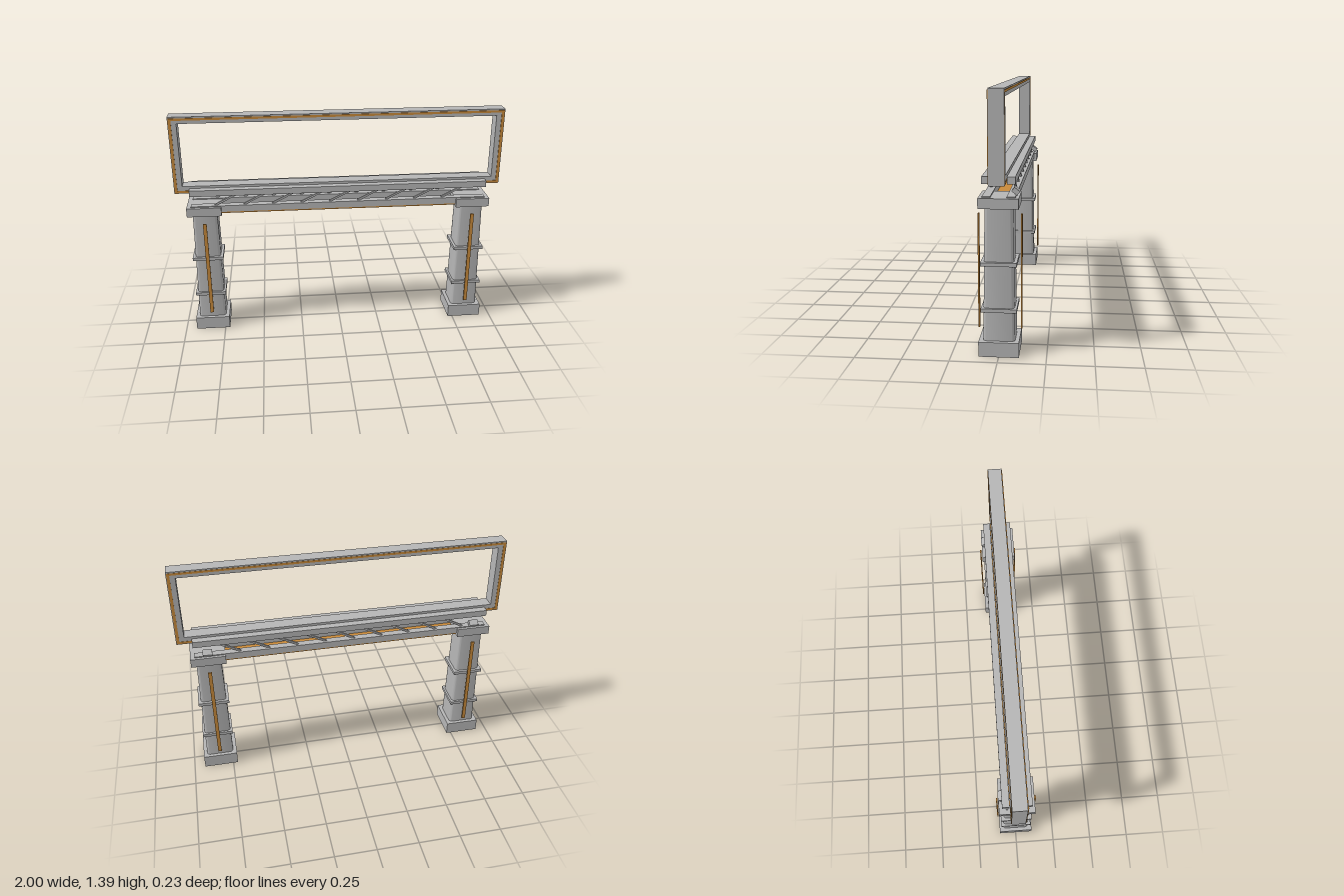
import * as THREE from 'three';
import { toCreasedNormals } from 'three/addons/utils/BufferGeometryUtils.js';

export function createModel() {
  const model = new THREE.Group();
  const grey = new THREE.MeshStandardMaterial({ color: 0xb5b5b5, side: THREE.DoubleSide });
  grey.name = 'concrete grey';
  const amber = new THREE.MeshStandardMaterial({ color: 0xc88a3a });
  amber.name = 'amber trim';

  const add = (name, geometry, material, parent = model) => {
    const mesh = new THREE.Mesh(geometry, material);
    mesh.name = name;
    parent.add(mesh);
    return mesh;
  };
  // Box given by its limits on each axis
  const box = (name, [x0, x1], [y0, y1], [z0, z1], material = grey, parent = model) => {
    const mesh = add(name, new THREE.BoxGeometry(x1 - x0, y1 - y0, z1 - z0), material, parent);
    mesh.position.set((x0 + x1) / 2, (y0 + y1) / 2, (z0 + z1) / 2);
    return mesh;
  };
  const rectangle = (Type, w, y0, y1) => new Type([
    new THREE.Vector2(-w, y0), new THREE.Vector2(w, y0),
    new THREE.Vector2(w, y1), new THREE.Vector2(-w, y1),
  ]);
  // Rectangular ring, extruded along z from z0
  const ring = (name, outer, inner, z0, depth, material) => {
    const shape = rectangle(THREE.Shape, ...outer);
    shape.holes.push(rectangle(THREE.Path, ...inner));
    const geometry = new THREE.ExtrudeGeometry(shape, { depth, bevelEnabled: false });
    add(name, geometry.translate(0, 0, z0), material);
  };

  // Tapered shaft with a rounded square section
  const shaftGeometry = (bottom, top, y0, y1) => {
    const r = 0.022, h = bottom / 2, c = h - r;
    const shape = new THREE.Shape();
    [[c, c], [-c, c], [-c, -c], [c, -c]].forEach(([x, y], i) =>
      shape.absarc(x, y, r, i * Math.PI / 2, (i + 1) * Math.PI / 2, false));
    const g = new THREE.ExtrudeGeometry(shape, { depth: y1 - y0, bevelEnabled: false, curveSegments: 5 });
    g.rotateX(-Math.PI / 2);
    const p = g.attributes.position;
    for (let i = 0; i < p.count; i++) {
      const s = THREE.MathUtils.lerp(1, top / bottom, p.getY(i) / (y1 - y0));
      p.setXYZ(i, p.getX(i) * s, p.getY(i) + y0, p.getZ(i) * s);
    }
    return toCreasedNormals(g, 0.6);
  };

  // Columns with base, bands, cap, lamp and light strips
  for (const side of [-1, 1]) {
    const column = new THREE.Group();
    column.name = side > 0 ? 'leftColumn' : 'rightColumn';
    column.position.x = side * 0.827;
    model.add(column);

    // The base is an open-bottomed box
    const base = new THREE.BoxGeometry(0.212, 0.08, 0.212);
    const index = Array.from(base.index.array);
    index.splice(18, 6);
    base.setIndex(index);
    base.clearGroups();
    add('base', base, grey, column).position.y = 0.04;

    add('shaft', shaftGeometry(0.168, 0.148, 0.08, 0.79), grey, column);
    for (const y of [0.249, 0.497])
      box('band', [-0.094, 0.094], [y - 0.01, y + 0.01], [-0.094, 0.094], grey, column);
    box('cap', [-0.104, 0.104], [0.79, 0.844], [-0.104, 0.104], grey, column);
    for (const z of [-0.113, 0.113])
      box('lightStrip', [-0.011, 0.011], [0.125, 0.745], [z - 0.004, z + 0.004], amber, column);

    const lamp = box('lamp', [-0.028, 0.028], [0.855, 0.881], [-0.102, -0.065], grey, column);
    lamp.rotation.x = -0.65;
  }

  // Bridge: lower beams, upper rails and slanted braces on both sides
  for (const side of [-1, 1]) {
    const span = (a, b) => (side > 0 ? [a, b] : [-b, -a]);
    box('lowerBeam', [-0.905, 0.905], [0.81, 0.85], span(0.042, 0.086));
    box('upperRail', [-0.908, 0.908], [0.914, 0.952], span(0.043, 0.086));
    for (let i = -4; i <= 4; i++) {
      const brace = add('brace', new THREE.BoxGeometry(0.148, 0.011, 0.012), grey);
      brace.position.set(i * 0.174, 0.882, side * 0.066);
      brace.rotation.z = Math.atan2(0.066, 0.13);
    }
  }
  box('bridgeUnderside', [-0.73, 0.73], [0.8, 0.81], [-0.08, 0.08], amber);

  // Sign frame with thin trim on both faces
  ring('signFrame', [1, 0.92, 1.395], [0.95, 0.965, 1.354], -0.04, 0.08, grey);
  for (const z of [0.04, -0.042])
    ring('frameTrim', [0.996, 0.925, 1.387], [0.98, 0.938, 1.374], z, z > 0 ? 0.004 : 0.002, amber);

  return model;
}
